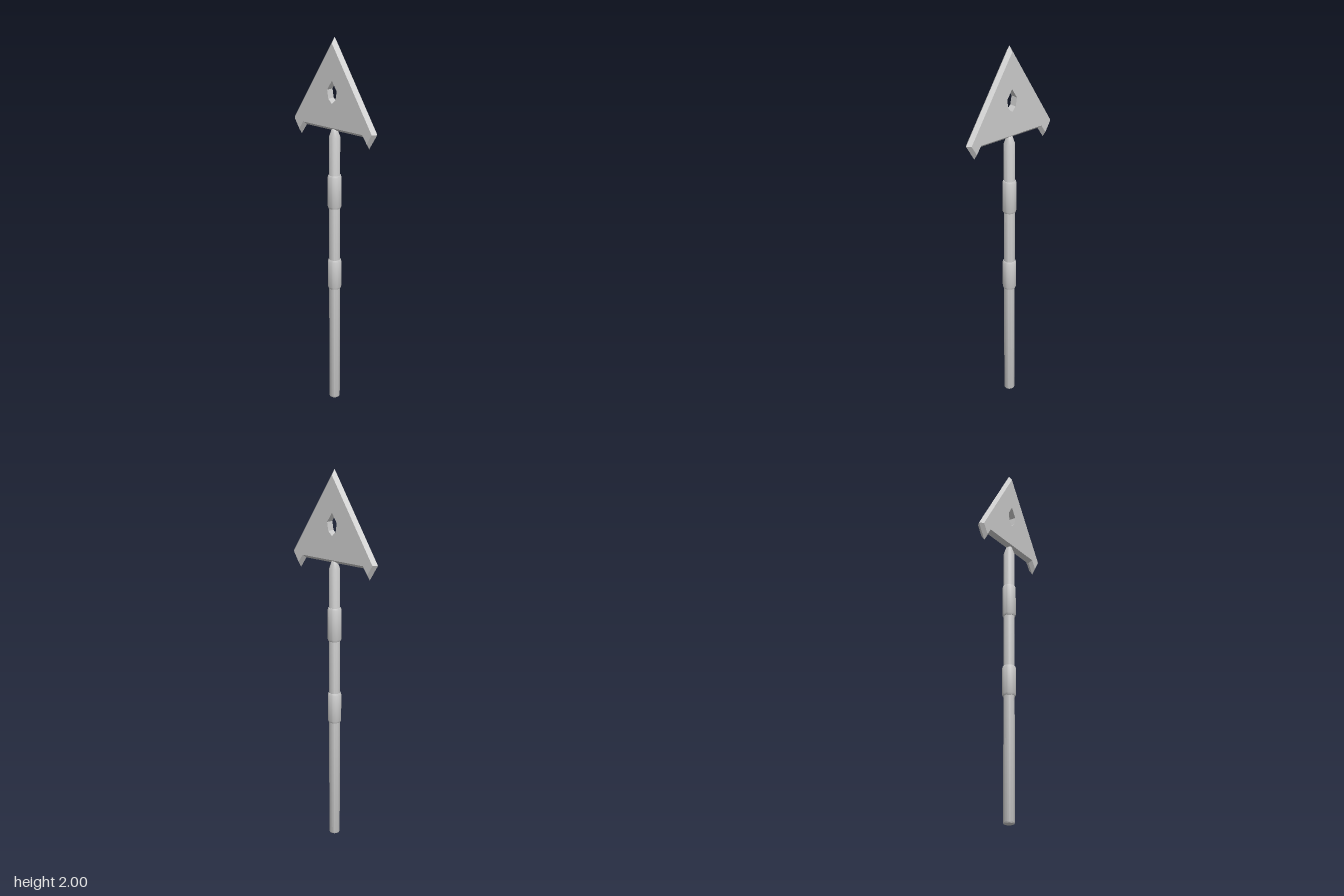
import * as THREE from 'three';
import { toCreasedNormals } from 'three/addons/utils/BufferGeometryUtils.js';

const V = (x, y) => new THREE.Vector2(x, y);

// Mirror a right-hand half outline (top to bottom) into a clockwise loop
const mirrorLoop = (half) => [
  ...half,
  ...half.filter((p) => p.x > 0).reverse().map((p) => V(-p.x, p.y)),
];

// Move every edge of a clockwise loop inwards by d, with mitred corners
function inset(loop, d) {
  const n = loop.length;
  const normal = (a, b) => V(b.y - a.y, a.x - b.x).normalize();
  return loop.map((p, i) => {
    const n1 = normal(loop[(i + n - 1) % n], p);
    const n2 = normal(p, loop[(i + 1) % n]);
    return p.clone().addScaledVector(n1.clone().add(n2), d / (1 + n1.dot(n2)));
  });
}

// Join two clockwise loops by quads; they face outwards when z1 > z2
function band(out, a, z1, b, z2) {
  a.forEach((p, i) => {
    const j = (i + 1) % a.length;
    const q = [[p.x, p.y, z1], [a[j].x, a[j].y, z1], [b[j].x, b[j].y, z2], [b[i].x, b[i].y, z2]];
    for (const k of [0, 1, 2, 0, 2, 3]) out.push(...q[k]);
  });
}

// Flat plate with edges ground to a ridge and a pierced hole
function bladeGeometry() {
  const t = 0.02;
  const rim = mirrorLoop([V(0, 2), V(0.281, 1.553), V(0.231, 1.472), V(0.193, 1.527)]);
  const face = inset(rim, 0.016);
  const hole = mirrorLoop([V(0, 1.785), V(0.032, 1.735), V(0.024, 1.69), V(0, 1.667)]);

  const pos = [];
  band(pos, face, t, rim, 0);
  band(pos, rim, 0, face, -t);
  band(pos, hole, -t, hole, t);

  const shape = new THREE.Shape(face);
  shape.holes.push(new THREE.Path(hole));
  const flat = new THREE.ShapeGeometry(shape).toNonIndexed().attributes.position;
  for (let i = 0; i < flat.count; i += 3) {
    for (const k of [0, 1, 2]) pos.push(flat.getX(i + k), flat.getY(i + k), t);
    for (const k of [0, 2, 1]) pos.push(flat.getX(i + k), flat.getY(i + k), -t);
  }
  const g = new THREE.BufferGeometry();
  g.setAttribute('position', new THREE.Float32BufferAttribute(pos, 3));
  g.computeVertexNormals();
  return g;
}

export function createModel() {
  const group = new THREE.Group();
  const material = new THREE.MeshStandardMaterial({ color: 0xcccccc });
  const add = (name, geometry) => {
    const mesh = new THREE.Mesh(geometry, material);
    mesh.name = name;
    group.add(mesh);
  };
  const turned = (points) => toCreasedNormals(
    new THREE.LatheGeometry(points.map(([r, y]) => V(r, y)), 24), 0.5);

  // Round pole, tapering to a peg that meets the blade
  add('shaft', turned([
    [0, 0], [0.026, 0], [0.029, 0.006], [0.029, 1.495],
    [0.02, 1.52], [0.016, 1.533], [0.01, 1.542], [0, 1.545],
  ]));

  // Two grip collars
  for (const [name, y0, y1] of [['lowerCollar', 0.66, 0.825], ['upperCollar', 1.113, 1.292]]) {
    add(name, turned([
      [0.028, y0], [0.032, y0], [0.036, y0 + 0.01],
      [0.036, y1 - 0.01], [0.032, y1], [0.028, y1],
    ]));
  }

  // Triangular head with two barbs
  add('blade', bladeGeometry());
  return group;
}
